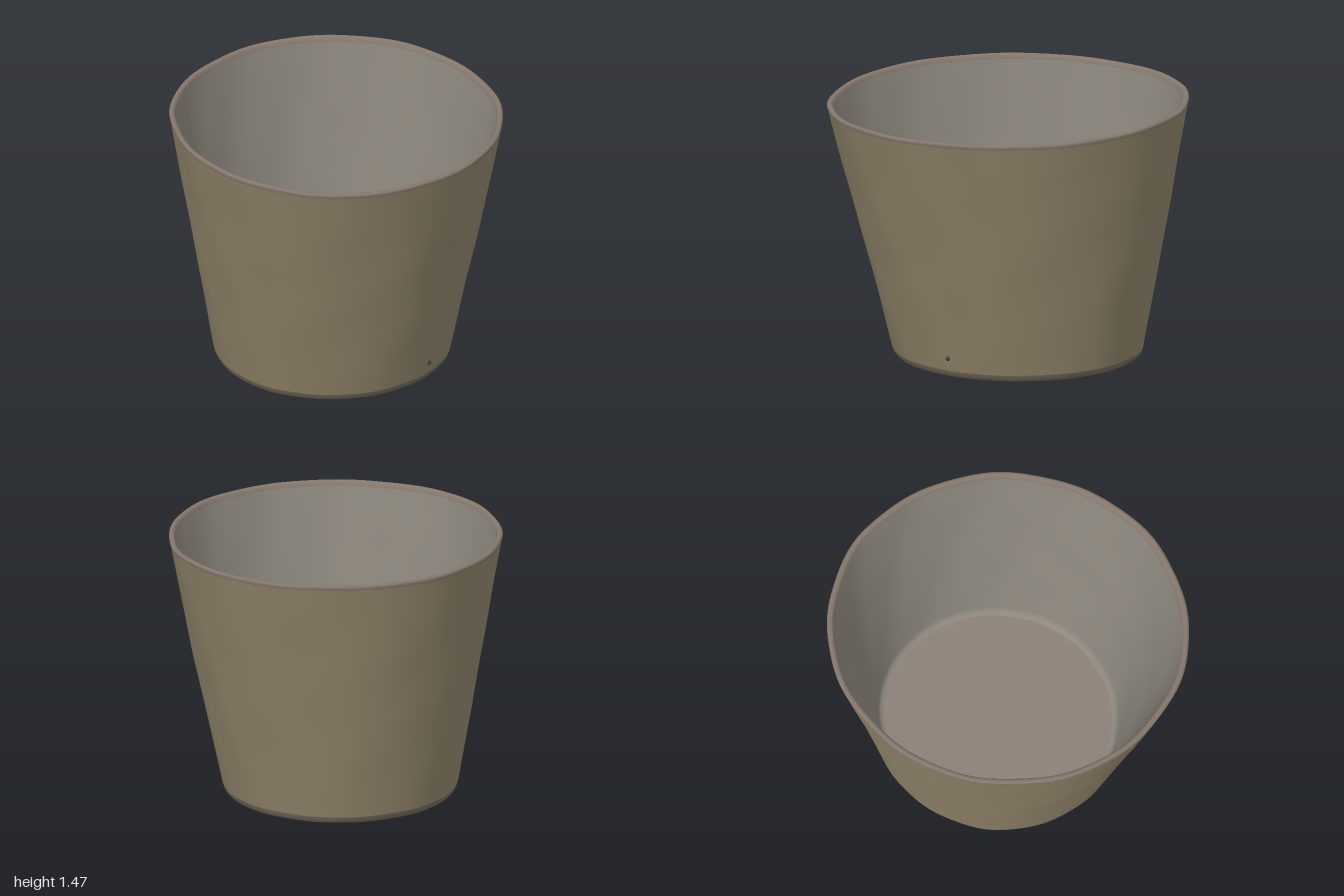
import * as THREE from 'three';
import { mergeVertices } from 'three/addons/utils/BufferGeometryUtils.js';

const HEIGHT = 1.452;

// Hand-made irregularity: oval section, leaning axis, sloping rim, faint hammering
function deform(x, y, z) {
  const t = y / HEIGHT;
  const r = Math.hypot(x, z);
  const a = Math.atan2(z, x);
  const wall = Math.min(1, Math.max(0, (r - 0.6) * 10));
  const bump = 1 + wall * 0.0028 * (Math.sin(7 * a + 3 * y) + Math.sin(13 * a - 5 * y + 1)
    + 0.6 * Math.sin(5 * a + 11 * y) * Math.sin(Math.PI * t));
  const nx = x * (0.942 - 0.017 * t) * bump - 0.03 * (1 - t);
  const nz = z * bump + 0.03 * t * x - 0.05 * (1 - t);
  const ny = y + t * (-0.012 * x - 0.013 * z + 0.004 * Math.sin(3 * a));
  return [nx, ny, nz];
}

// Revolve a smoothed profile, then deform it and rebuild seamless normals
function turned(name, points, color) {
  const lathe = new THREE.LatheGeometry(points.map(([r, y]) => new THREE.Vector2(r, y)), 112);
  lathe.deleteAttribute('uv');
  lathe.deleteAttribute('normal');
  const p = lathe.attributes.position;
  for (let i = 0; i < p.count; i++) {
    p.setXYZ(i, ...deform(p.getX(i), p.getY(i), p.getZ(i)));
  }
  const geometry = mergeVertices(lathe, 1e-5);
  geometry.computeVertexNormals();
  const mesh = new THREE.Mesh(geometry, new THREE.MeshStandardMaterial({ color }));
  mesh.name = name;
  return mesh;
}

// Evenly divided straight run of profile points
function run([r0, y0], [r1, y1], n) {
  return Array.from({ length: n + 1 }, (_, i) => [r0 + (r1 - r0) * i / n, y0 + (y1 - y0) * i / n]);
}

export function createModel() {
  const group = new THREE.Group();
  group.name = 'cup';

  // Underside, slightly hollow, with a rounded foot
  group.add(turned('base', [
    [0, 0.016], [0.3, 0.016], [0.56, 0.012], [0.61, 0.004], [0.645, 0.002],
    [0.672, 0.008], [0.686, 0.022], [0.693, 0.045],
  ], 0x756a5b));

  // Flaring outer wall
  group.add(turned('outerWall', run([0.693, 0.045], [0.992, 1.425], 28), 0x8f8268));

  // Rounded lip, from the outside over to the inside
  group.add(turned('rim', [
    [0.992, 1.425], [0.997, 1.44], [0.993, 1.449], [0.984, 1.453],
    [0.972, 1.451], [0.962, 1.443], [0.956, 1.425],
  ], 0x85776d));

  // Inner wall running down into the floor
  group.add(turned('innerWall', [
    ...run([0.956, 1.425], [0.667, 0.1], 28), [0.66, 0.078], [0.648, 0.064], [0.63, 0.057],
  ], 0x8c867c));

  // Floor
  group.add(turned('floor', [[0.63, 0.057], [0.6, 0.055], [0.3, 0.054], [0, 0.054]], 0x8c8078));

  // Small dark pit low on the side
  const pit = new THREE.Mesh(
    new THREE.SphereGeometry(0.014, 12, 8),
    new THREE.MeshStandardMaterial({ color: 0x4a4338 }),
  );
  pit.name = 'pit';
  pit.position.set(0.556, 0.12, 0.3);
  group.add(pit);

  return group;
}
